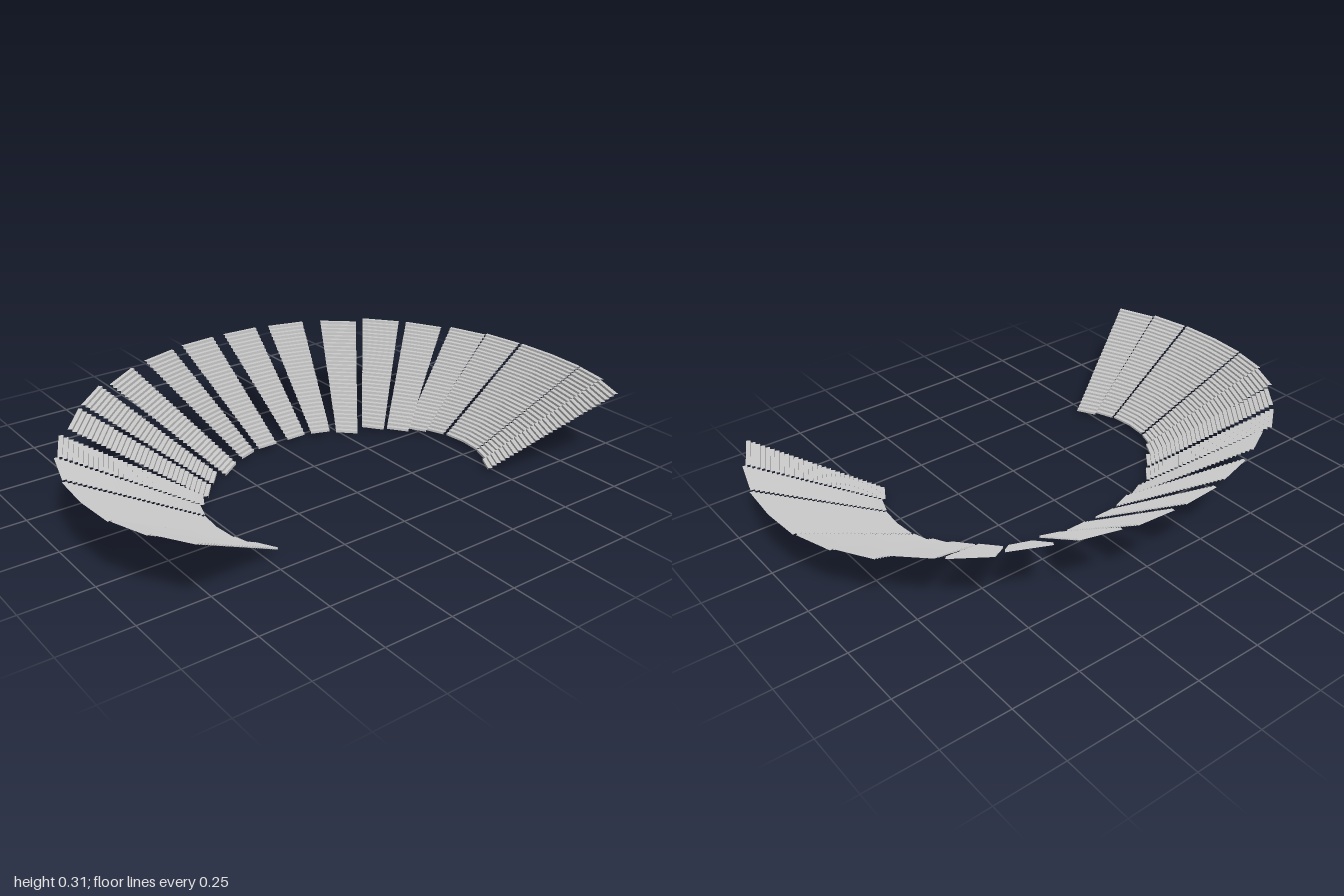
import * as THREE from 'three';

const ROWS = 30;

// Plan of one half of the bowl. Every stand lists its inner (front row) and
// outer (back row) edge as [x, y, z] points, going round from the end stand.
const STANDS = [
  { inner: [[-0.203, 0.02, 0.025], [-0.203, 0.02, 0.105]], outer: [[-0.635, 0.315, 0.025], [-0.625, 0.315, 0.17]] },
  { inner: [[-0.195, 0.02, 0.13], [-0.17, 0.02, 0.20]], outer: [[-0.61, 0.315, 0.22], [-0.57, 0.315, 0.362]] },
  { inner: [[-0.166, 0.01, 0.228], [-0.125, 0, 0.30]], outer: [[-0.54, 0.313, 0.43], [-0.467, 0.303, 0.558]] },
  { inner: [[-0.135, 0.015, 0.33], [-0.07, 0.013, 0.385]], outer: [[-0.472, 0.307, 0.597], [-0.377, 0.297, 0.712]] },
  { inner: [[-0.066, 0.015, 0.397], [0, 0.013, 0.45]], outer: [[-0.356, 0.296, 0.733], [-0.245, 0.285, 0.827]] },
  { inner: [[-0.02, 0.018, 0.457], [0.05, 0.018, 0.495]], outer: [[-0.23, 0.281, 0.866], [-0.098, 0.273, 0.933]] },
  { inner: [[0.035, 0.018, 0.505], [0.11, 0.02, 0.53]], outer: [[-0.1, 0.274, 0.944], [0.044, 0.267, 0.984]] },
  { inner: [[0.12, 0.02, 0.535], [0.2, 0.02, 0.543], [0.285, 0.02, 0.535]], outer: [[0.053, 0.266, 0.99], [0.2, 0.265, 1], [0.352, 0.266, 0.99]] },
  { inner: [[0.29, 0.02, 0.53], [0.365, 0.018, 0.505]], outer: [[0.358, 0.267, 0.984], [0.5, 0.274, 0.944]] },
  { inner: [[0.355, 0.018, 0.495], [0.424, 0.018, 0.457]], outer: [[0.498, 0.273, 0.933], [0.632, 0.281, 0.866]] },
];

// Stepped terrace: one riser and one tread per row, swept between two edges
function terrace({ inner, outer }, side) {
  const pos = [];
  const point = (i, plan, height) => {
    const a = inner[i], b = outer[i];
    return [
      THREE.MathUtils.lerp(a[0], b[0], plan),
      THREE.MathUtils.lerp(a[1], b[1], height),
      side * THREE.MathUtils.lerp(a[2], b[2], plan),
    ];
  };
  const quad = (a, b, c, d) => {
    if (side > 0) [a, b, c, d] = [b, a, d, c];
    pos.push(...a, ...b, ...c, ...a, ...c, ...d);
  };
  for (let i = 0; i < inner.length - 1; i++) {
    const j = i + 1;
    for (let r = 0; r < ROWS; r++) {
      const t0 = r / ROWS, t1 = (r + 1) / ROWS;
      // riser
      quad(point(i, t0, t0), point(j, t0, t0), point(j, t0, t1), point(i, t0, t1));
      // tread
      quad(point(i, t0, t1), point(j, t0, t1), point(j, t1, t1), point(i, t1, t1));
    }
  }
  const geometry = new THREE.BufferGeometry();
  geometry.setAttribute('position', new THREE.Float32BufferAttribute(pos, 3));
  geometry.computeVertexNormals();
  return geometry;
}

export function createModel() {
  const model = new THREE.Group();
  model.name = 'stadiumSeating';
  const material = new THREE.MeshStandardMaterial({
    color: 0xcccccc, flatShading: true, side: THREE.DoubleSide,
  });

  // Two mirrored halves of the horseshoe
  for (const [side, label] of [[-1, 'back'], [1, 'front']]) {
    const half = new THREE.Group();
    half.name = `${label}Stands`;
    STANDS.forEach((stand, i) => {
      const mesh = new THREE.Mesh(terrace(stand, side), material);
      mesh.name = `${label}Stand${i + 1}`;
      half.add(mesh);
    });
    model.add(half);
  }
  return model;
}
